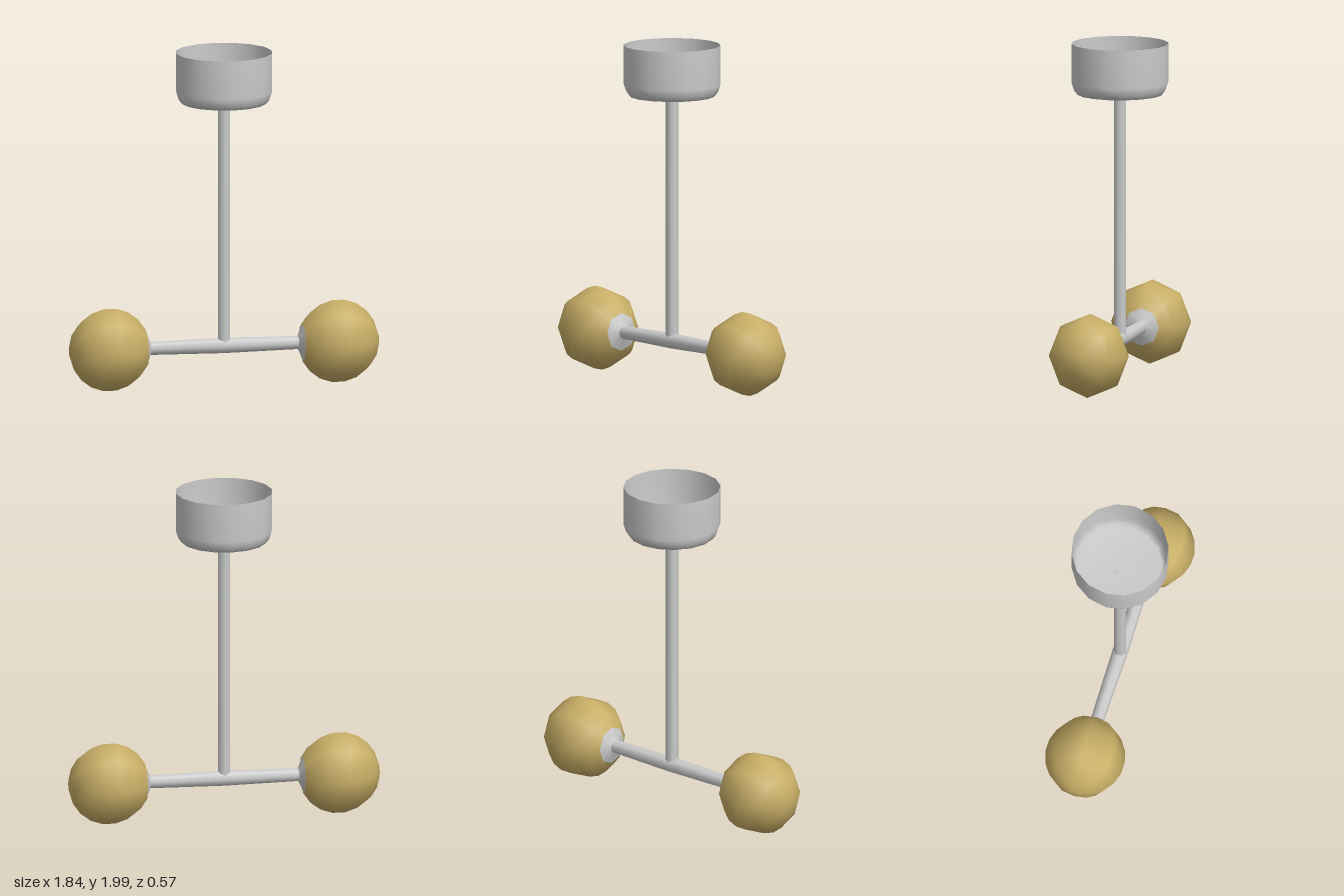
import * as THREE from 'three';

const grey = new THREE.MeshStandardMaterial({ color: 0xcccccc, side: THREE.DoubleSide });
const gold = new THREE.MeshStandardMaterial({ color: 0xc8ae66, side: THREE.DoubleSide });
const ARM_Y = 0.251;

// Revolved part from [radius, height] pairs
function lathe(name, pairs, sides, material) {
  const points = pairs.map(([r, h]) => new THREE.Vector2(r, h));
  const mesh = new THREE.Mesh(new THREE.LatheGeometry(points, sides), material);
  mesh.name = name;
  return mesh;
}

// Globe with its socket collar, built along +y and laid along +x or -x
function createLamp(side) {
  const lamp = new THREE.Group();
  lamp.name = side > 0 ? 'leftLamp' : 'rightLamp';

  // Faceted globe, open at the socket and flat at the outer end
  const profile = [];
  for (let a = 153; a > 0; a -= 18) {
    const t = THREE.MathUtils.degToRad(a);
    profile.push([0.24 * Math.sin(t), 0.682 + 0.24 * Math.cos(t)]);
  }
  profile.push([0, profile[profile.length - 1][1]]);
  const globe = lathe('globe', profile, 8, gold);

  // Flared collar between arm and globe
  const collar = lathe('collar', [[0.038, 0.44], [0.05, 0.447], [0.119, 0.478]], 8, grey);

  lamp.add(globe, collar);
  lamp.scale.set(1.03, 1, 0.98);
  lamp.rotation.z = -side * Math.PI / 2;
  lamp.position.y = ARM_Y;
  return lamp;
}

export function createModel() {
  const model = new THREE.Group();
  model.name = 'pendantLight';

  // Ceiling canopy, open at the top with a chamfered base
  model.add(lathe('canopy', [[0, 1.7], [0.04, 1.7], [0.25, 1.7], [0.27, 1.725], [0.285, 1.77], [0.285, 2]], 16, grey));

  // Hanging rod
  const rod = new THREE.Mesh(new THREE.CylinderGeometry(0.037, 0.037, 1.46, 8), grey);
  rod.name = 'rod';
  rod.position.y = 0.975;
  model.add(rod);

  // Cross arm, slightly thicker in the middle
  const arm = lathe('crossArm', [[0.039, -0.46], [0.046, 0], [0.039, 0.46]], 8, grey);
  arm.rotation.z = Math.PI / 2;
  arm.position.y = ARM_Y;
  model.add(arm);

  for (const side of [1, -1]) model.add(createLamp(side));
  return model;
}
